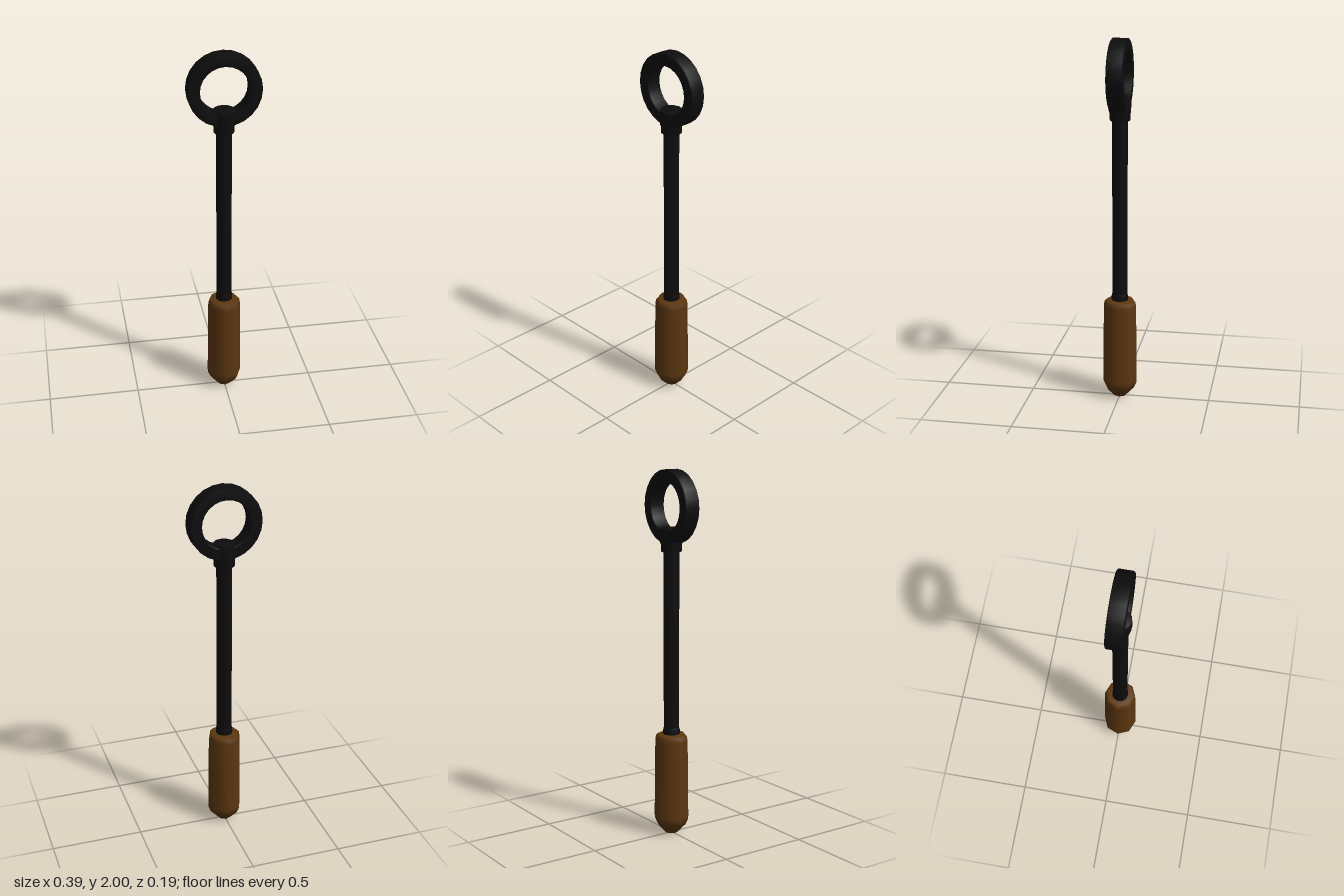
import * as THREE from 'three';

export function createModel() {
  const iron = new THREE.MeshStandardMaterial({ color: 0x0d0d0d });
  iron.name = 'black iron';
  const wood = new THREE.MeshStandardMaterial({ color: 0x5c3710 });
  wood.name = 'brown wood';
  const group = new THREE.Group();

  // Turned part from [radius, height] points
  const turned = (name, points, sides, material) => {
    const profile = points.map(([r, y]) => new THREE.Vector2(r, y));
    const mesh = new THREE.Mesh(new THREE.LatheGeometry(profile, sides), material);
    mesh.name = name;
    group.add(mesh);
    return mesh;
  };

  // Eight-sided grip with a tapered butt and bevelled shoulder
  turned('handle', [
    [0, 0], [0.035, 0.003], [0.08, 0.05], [0.093, 0.08], [0.095, 0.1],
    [0.09, 0.53], [0.086, 0.555], [0.074, 0.568], [0, 0.57],
  ], 8, wood);

  // Long rod and the small lip where it enters the grip
  turned('rod', [[0.042, 0.5], [0.042, 1.6]], 12, iron);
  turned('rodLip', [[0.046, 0.56], [0.046, 0.59], [0.042, 0.605]], 12, iron);

  // Collar under the ring
  turned('collar', [
    [0.04, 1.567], [0.053, 1.567], [0.056, 1.572], [0.056, 1.605],
    [0.06, 1.615], [0.06, 1.685], [0.055, 1.695], [0, 1.698],
  ], 12, iron);

  // Flat-banded ring, softened at its edges, facing the front
  const ring = turned('ring', [
    [0.136, -0.044], [0.188, -0.044], [0.195, -0.038], [0.195, 0.038],
    [0.188, 0.044], [0.136, 0.044], [0.13, 0.038], [0.13, -0.038], [0.136, -0.044],
  ], 24, iron);
  ring.rotation.x = Math.PI / 2;
  ring.position.y = 1.805;

  return group;
}
